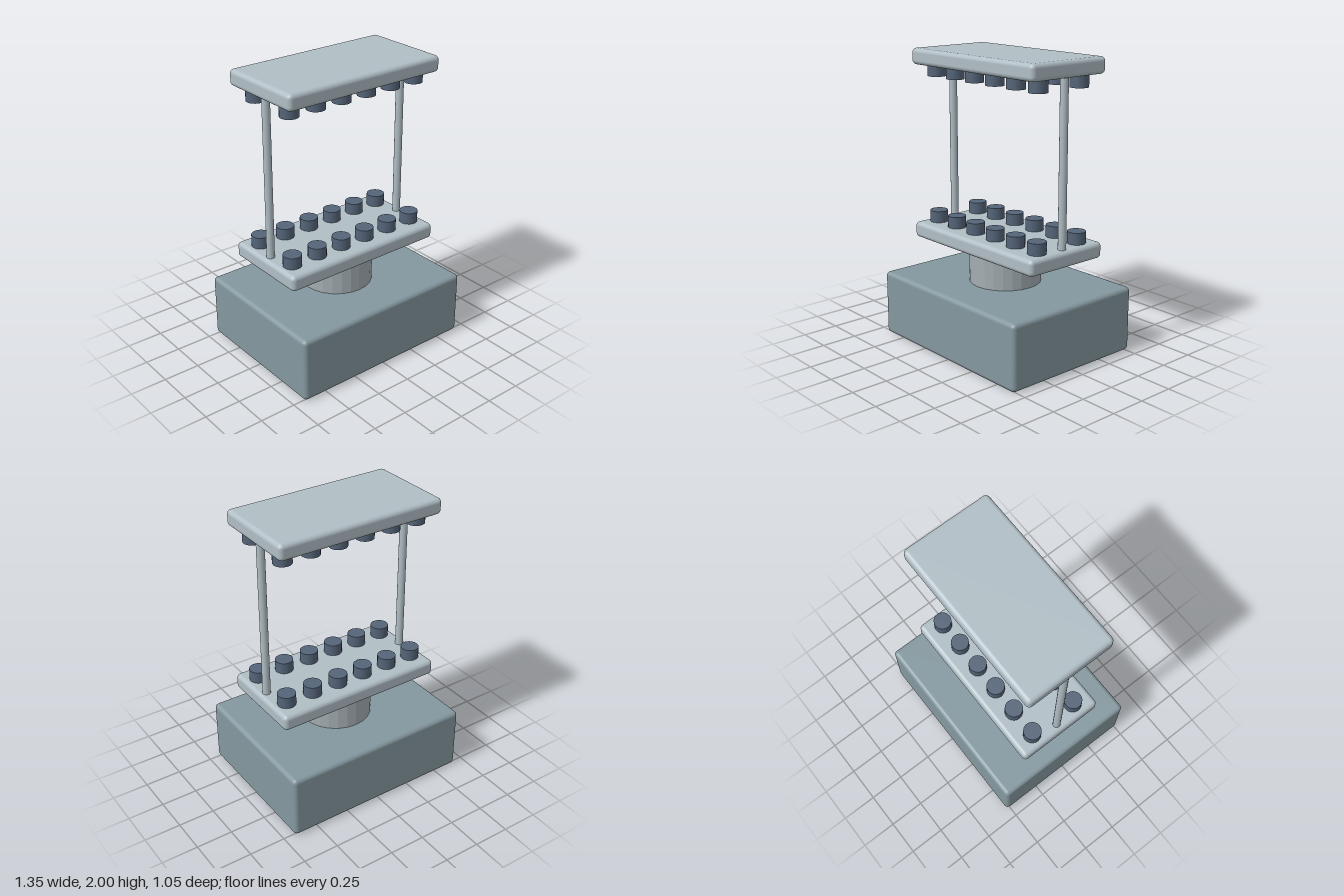
import * as THREE from 'three';
import { RoundedBoxGeometry } from 'three/addons/geometries/RoundedBoxGeometry.js';

const material = (name, color, flatShading = false) => {
  const m = new THREE.MeshStandardMaterial({ color, flatShading });
  m.name = name;
  return m;
};

export function createModel() {
  const slate = material('slate grey', 0x84989f);
  const pale = material('pale grey', 0xb0bec5);
  const grey = material('neutral grey', 0xa3adb2, true);
  const dark = material('dark blue grey', 0x546478);

  const model = new THREE.Group();
  model.name = 'studdedPlateStand';

  const add = (name, geometry, mat, x, y, z, parent = model) => {
    const mesh = new THREE.Mesh(geometry, mat);
    mesh.name = name;
    mesh.position.set(x, y, z);
    parent.add(mesh);
    return mesh;
  };

  // Heavy base block and its central column
  add('base', new RoundedBoxGeometry(1.35, 0.45, 1.05, 4, 0.03), slate, 0, 0.23, 0);
  add('column', new THREE.CylinderGeometry(0.245, 0.245, 0.25, 24), grey, 0, 0.57, 0);

  // Two matching plates, with studs facing each other
  const plate = new RoundedBoxGeometry(1.2, 0.11, 0.63, 4, 0.03);
  const stud = new THREE.CylinderGeometry(0.062, 0.062, 0.09, 20);
  const addPlate = (name, y, facing) => {
    const group = new THREE.Group();
    group.name = name;
    group.position.y = y;
    model.add(group);
    add(name + 'Slab', plate, pale, 0, 0, 0, group);
    for (let i = 0; i < 6; i++) {
      for (const z of [-0.175, 0.175]) {
        add('stud', stud, dark, -0.5 + i * 0.2, facing * 0.09, z, group);
      }
    }
  };
  addPlate('lowerPlate', 0.74, 1);
  addPlate('upperPlate', 1.945, -1);

  // Slim rods joining the plates at each end
  const rod = new THREE.CylinderGeometry(0.027, 0.027, 1.12, 16);
  add('leftRod', rod, pale, 0.545, 1.3425, 0);
  add('rightRod', rod, pale, -0.545, 1.3425, 0);

  return model;
}
